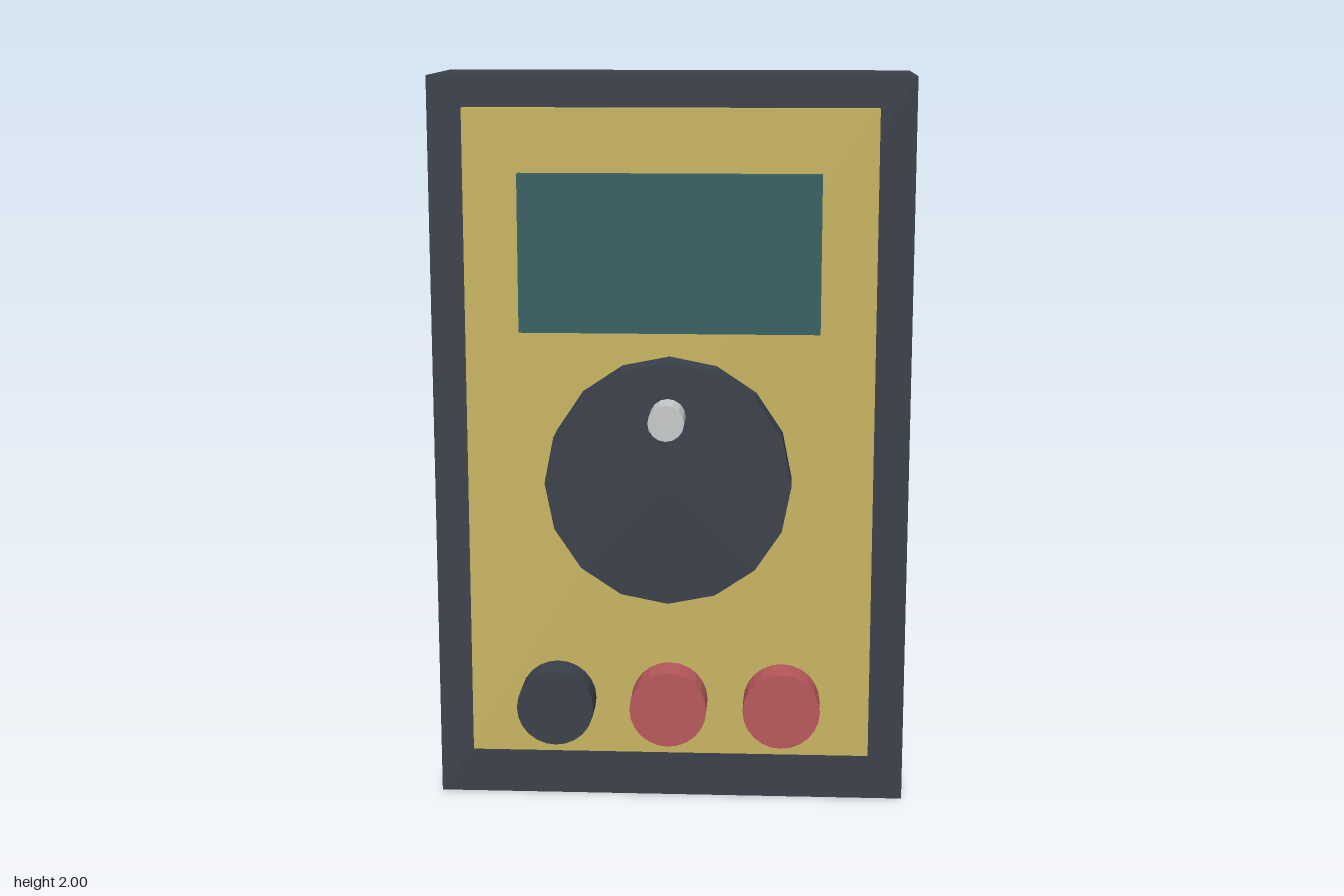
import * as THREE from 'three';

const mat = (name, color) => {
  const m = new THREE.MeshStandardMaterial({ color, flatShading: true });
  m.name = name;
  return m;
};

export function createModel() {
  const charcoal = mat('charcoal', 0x3b414b);
  const yellow = mat('mustard yellow', 0xc8b560);
  const teal = mat('screen teal', 0x366063);
  const red = mat('socket red', 0xb8595d);
  const silver = mat('light grey', 0xc8cbcb);

  const model = new THREE.Group();
  model.name = 'handheldMeter';

  const add = (name, geometry, material, x, y, z) => {
    const mesh = new THREE.Mesh(geometry, material);
    mesh.name = name;
    mesh.position.set(x, y, z);
    model.add(mesh);
  };
  // Box given by its width, vertical range and depth range
  const block = (name, material, w, y0, y1, z0, z1) =>
    add(name, new THREE.BoxGeometry(w, y1 - y0, z1 - z0), material, 0, (y0 + y1) / 2, (z0 + z1) / 2);
  // Round part whose axis points forward
  const knob = (name, material, r, sides, x, y, z0, z1) =>
    add(name, new THREE.CylinderGeometry(r, r, z1 - z0, sides).rotateX(Math.PI / 2), material, x, y, (z0 + z1) / 2);

  // Case, face plate and display
  block('case', charcoal, 1.296, 0, 2, -0.328, 0.094);
  block('facePlate', yellow, 1.1, 0.14, 1.917, 0.094, 0.136);
  block('screen', teal, 0.804, 1.326, 1.748, 0.136, 0.168);

  // Selector dial with its pointer pin
  knob('dial', charcoal, 0.33, 16, 0, 0.93, 0.136, 0.234);
  knob('dialPin', silver, 0.048, 16, 0, 1.115, 0.234, 0.328);

  // Row of three probe sockets
  [charcoal, red, red].forEach((m, i) =>
    knob('socket' + (i + 1), m, 0.105, 24, (i - 1) * 0.309, 0.298, 0.136, 0.234));

  return model;
}
